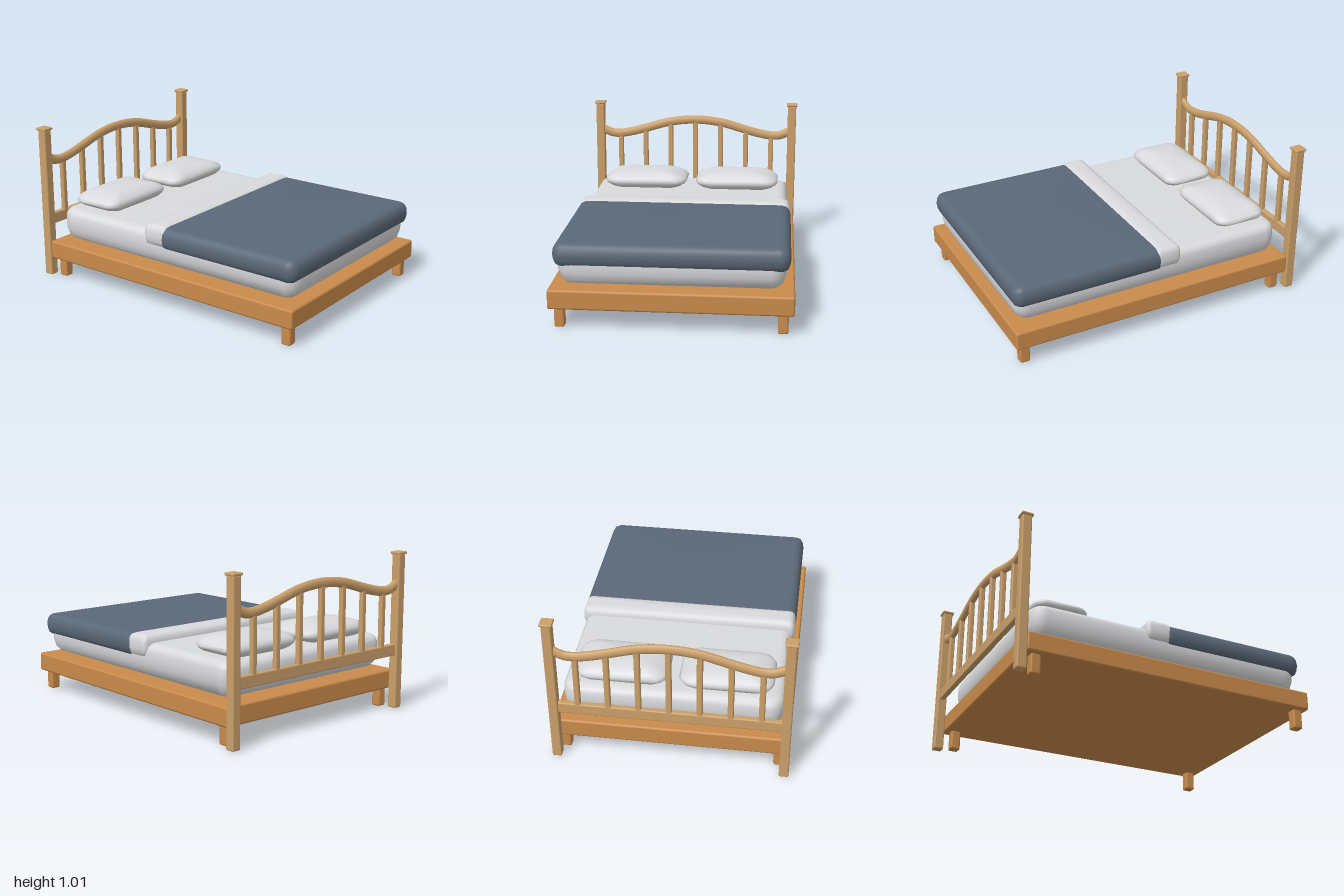
import * as THREE from 'three';
import { RoundedBoxGeometry } from 'three/addons/geometries/RoundedBoxGeometry.js';

const material = (name, color) => {
  const m = new THREE.MeshStandardMaterial({ color });
  m.name = name;
  return m;
};

// Soft slab: rounded-rectangle rings stacked by a profile of [y, inset x, inset z].
function softSlab(width, depth, radius, profile) {
  const a = width / 2, b = depth / 2, perCorner = 8, n = perCorner * 4;
  const first = profile[0], last = profile[profile.length - 1];
  const rings = [[first[0], a, b], ...profile, [last[0] + 0.001, a, b]];
  const pos = [], index = [];
  rings.forEach(([y, ix, iz = ix]) => {
    const hx = Math.max(a - ix, 0), hz = Math.max(b - iz, 0);
    const r = Math.min(Math.max(radius - Math.min(ix, iz), radius * 0.5), hx, hz);
    for (let c = 0; c < 4; c++) {
      const sx = c === 0 || c === 3 ? 1 : -1, sz = c < 2 ? 1 : -1;
      for (let k = 0; k < perCorner; k++) {
        const t = (c + k / (perCorner - 1)) * Math.PI / 2;
        pos.push(sx * (hx - r) + r * Math.cos(t), y, sz * (hz - r) + r * Math.sin(t));
      }
    }
  });
  for (let i = 0; i < rings.length - 1; i++) {
    for (let j = 0; j < n; j++) {
      const p = i * n + j, q = i * n + (j + 1) % n;
      index.push(p, p + n, q, q, p + n, q + n);
    }
  }
  const g = new THREE.BufferGeometry();
  g.setAttribute('position', new THREE.Float32BufferAttribute(pos, 3));
  g.setIndex(index);
  g.computeVertexNormals();
  return g;
}

export function createModel() {
  const bed = new THREE.Group();
  bed.name = 'bed';
  const frameWood = material('frame wood', 0xc98a4b);
  const headWood = material('headboard wood', 0xcba06a);
  const linen = material('linen', 0xd9dadc);
  const blanketCloth = material('blanket cloth', 0x5b6878);

  const add = (name, geometry, mat, x = 0, y = 0, z = 0, parent = bed) => {
    const mesh = new THREE.Mesh(geometry, mat);
    mesh.name = name;
    mesh.position.set(x, y, z);
    parent.add(mesh);
    return mesh;
  };
  const block = (name, w, h, d, r, mat, x, y, z, parent) =>
    add(name, new RoundedBoxGeometry(w, h, d, 2, r), mat, x, y, z, parent);

  // Base and short legs
  block('base', 1.46, 0.122, 1.93, 0.014, frameWood, 0, 0.184, 0.035);
  for (const x of [-0.665, 0.665])
    for (const z of [-0.86, 0.935])
      block('leg', 0.062, 0.13, 0.064, 0.012, frameWood, x, 0.065, z);

  // Headboard posts with caps
  const headboard = new THREE.Group();
  headboard.name = 'headboard';
  bed.add(headboard);
  const headZ = -0.96;
  for (const x of [-0.705, 0.705]) {
    block('post', 0.06, 1.0, 0.062, 0.009, headWood, x, 0.5, headZ, headboard);
    block('postCap', 0.077, 0.018, 0.077, 0.007, headWood, x, 1.006, headZ, headboard);
  }

  // Curved top rail
  const half = [[0, 0.885], [0.185, 0.867], [0.37, 0.816], [0.47, 0.79], [0.56, 0.775], [0.62, 0.779], [0.695, 0.812]];
  const points = [...half.slice(1).reverse().map(([x, y]) => [-x, y]), ...half]
    .map(([x, y]) => new THREE.Vector3(x, y, 0));
  const railCurve = new THREE.CatmullRomCurve3(points);
  const railGeometry = new THREE.TubeGeometry(railCurve, 64, 0.031, 12);
  railGeometry.scale(1, 1, 0.68);
  add('topRail', railGeometry, headWood, 0, 0, headZ, headboard);

  // Lower rail and spindles
  block('lowerRail', 1.38, 0.075, 0.036, 0.008, headWood, 0, 0.385, headZ, headboard);
  const spindleTops = [0.885, 0.867, 0.816, 0.776];
  for (let i = -3; i <= 3; i++) {
    const top = spindleTops[Math.abs(i)], bottom = 0.39;
    block('spindle', 0.036, top - bottom, 0.034, 0.009, headWood,
      i * 0.185, (top + bottom) / 2, headZ, headboard);
  }

  // Mattress
  add('mattress', softSlab(1.36, 1.85, 0.1, [
    [0.248, 0.17], [0.254, 0.1], [0.268, 0.05], [0.295, 0.02], [0.34, 0.004], [0.385, 0],
    [0.43, 0.003], [0.455, 0.014], [0.47, 0.035], [0.478, 0.07],
  ]), linen, 0, 0, 0.045);

  // Blanket and the folded sheet over its upper edge
  add('blanket', softSlab(1.404, 1.015, 0.065, [
    [0.378, 0.07], [0.383, 0.03], [0.395, 0.014], [0.42, 0.004], [0.45, 0],
    [0.48, 0.004], [0.503, 0.016], [0.516, 0.034], [0.522, 0.06],
  ]), blanketCloth, 0, 0, 0.4775);
  add('sheetFold', softSlab(1.396, 0.18, 0.035, [
    [0.385, 0.05], [0.388, 0.03], [0.4, 0.012], [0.425, 0.003], [0.45, 0],
    [0.485, 0.002], [0.508, 0.009], [0.522, 0.022], [0.53, 0.045],
  ]), linen, 0, 0, -0.05);

  // Pillows
  const pillow = softSlab(0.58, 0.357, 0.09, [
    [0.466, 0.16, 0.09], [0.474, 0.09, 0.045], [0.49, 0.04, 0.02], [0.508, 0.012, 0.005], [0.525, 0, 0],
    [0.543, 0.012, 0.006], [0.558, 0.04, 0.02], [0.573, 0.08, 0.045], [0.583, 0.125, 0.075], [0.59, 0.19, 0.12],
  ]);
  for (const x of [-0.322, 0.322]) add('pillow', pillow, linen, x, 0, -0.652);

  return bed;
}
